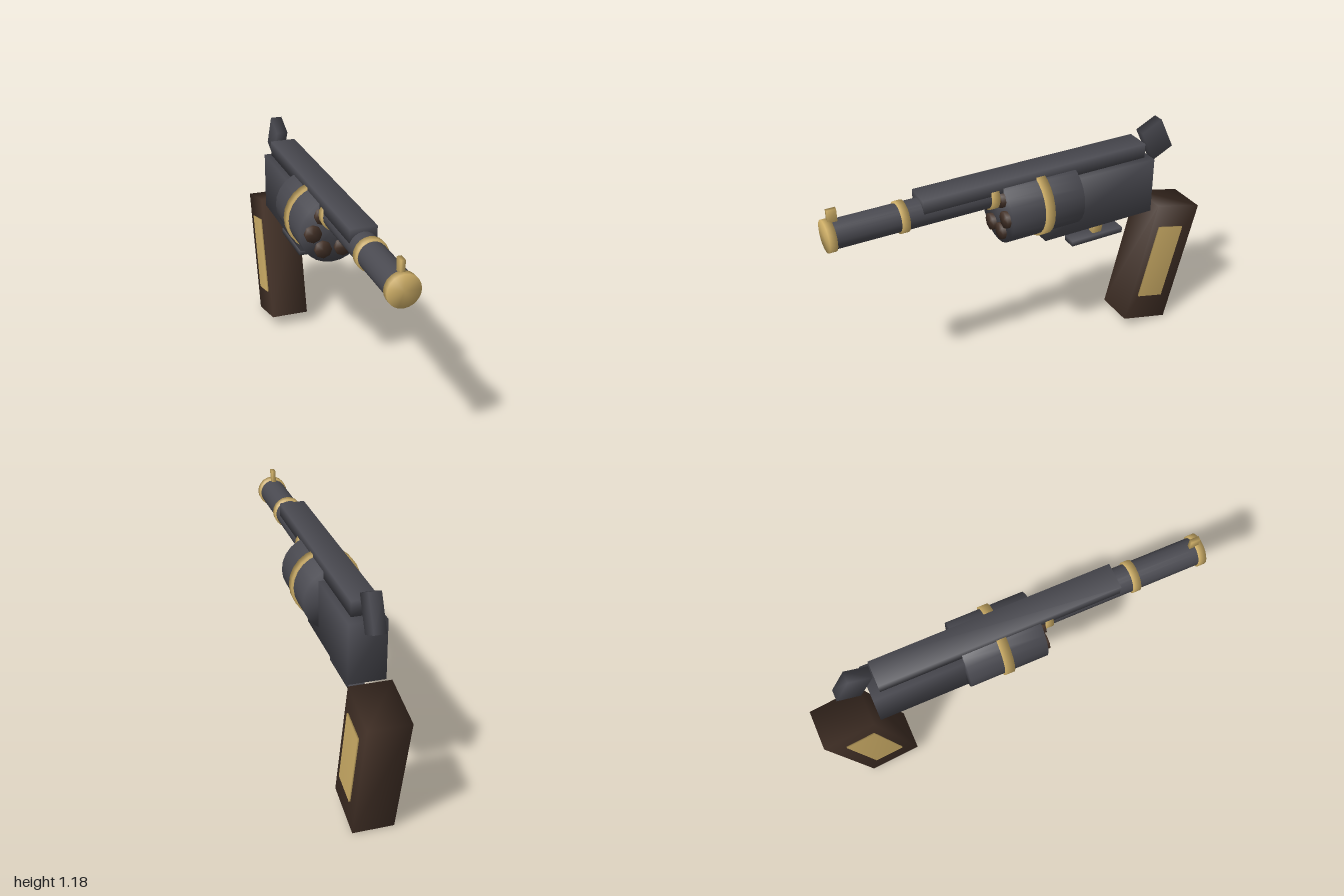
import * as THREE from 'three';
import { mergeVertices } from 'three/addons/utils/BufferGeometryUtils.js';

const paint = (name, color) => {
  const m = new THREE.MeshStandardMaterial({ color });
  m.name = name;
  return m;
};

// Share corner vertices so normals run softly across the edges
function soften(geometry) {
  geometry.deleteAttribute('normal');
  geometry.deleteAttribute('uv');
  const g = mergeVertices(geometry, 1e-4);
  g.computeVertexNormals();
  return g;
}

export function createModel() {
  const model = new THREE.Group();
  model.name = 'revolver';
  const steel = paint('dark steel', 0x4a4a51);
  const brass = paint('brass', 0xd0b068);
  const wood = paint('dark wood', 0x443228);

  function add(name, geometry, material, x, y, z, tilt = 0) {
    const mesh = new THREE.Mesh(soften(geometry), material);
    mesh.name = name;
    mesh.position.set(x, y, z);
    mesh.rotation.x = tilt;
    model.add(mesh);
  }
  const box = (name, mat, [w, h, d], [x, y, z], tilt) =>
    add(name, new THREE.BoxGeometry(w, h, d), mat, x, y, z, tilt);
  // Round part lying along z, from z0 (back) to z1 (front)
  const rod = (name, mat, r, z0, z1, x, y, sides) =>
    add(name, new THREE.CylinderGeometry(r, r, z1 - z0, sides).rotateX(Math.PI / 2),
      mat, x, y, (z0 + z1) / 2);

  // Barrel with brass bands, the front one capping the muzzle
  rod('barrel', steel, 0.068, 0.1, 0.98, 0, 1.008, 20);
  rod('muzzleBand', brass, 0.077, 0.963, 1.0, 0, 1.008, 20);
  rod('middleBand', brass, 0.077, 0.62, 0.658, 0, 1.008, 20);
  rod('rearBand', brass, 0.077, 0.168, 0.208, 0, 1.008, 20);
  box('frontSight', brass, [0.02, 0.07, 0.045], [0, 1.102, 0.957]);
  box('topRib', steel, [0.13, 0.075, 1.2], [0, 1.058, -0.05]);

  // Drum with band and six chambers
  const drumY = 0.906;
  rod('drum', steel, 0.163, -0.247, 0.145, 0, drumY, 24);
  rod('drumBand', brass, 0.174, -0.077, -0.03, 0, drumY, 24);
  for (let i = 0; i < 6; i++) {
    const a = (i / 6) * Math.PI * 2;
    rod('chamber', wood, 0.043, 0.1, 0.165,
      Math.cos(a) * 0.1, drumY + Math.sin(a) * 0.1, 8);
  }

  // Frame, hammer and trigger
  box('frame', steel, [0.18, 0.296, 0.625], [0, 0.862, -0.382]);
  box('hammer', steel, [0.058, 0.18, 0.122], [0, 1.08, -0.75], 0.45);
  box('trigger', brass, [0.036, 0.13, 0.05], [0, 0.685, -0.43], -0.22);
  box('triggerGuard', steel, [0.074, 0.03, 0.3], [0, 0.61, -0.41]);

  // Slanted grip with brass side plates
  box('grip', wood, [0.204, 0.683, 0.27], [0, 0.368, -0.783], -0.245);
  for (const side of [-1, 1])
    box('gripPlate', brass, [0.009, 0.42, 0.155], [side * 0.1055, 0.383, -0.773], -0.245);

  return model;
}
